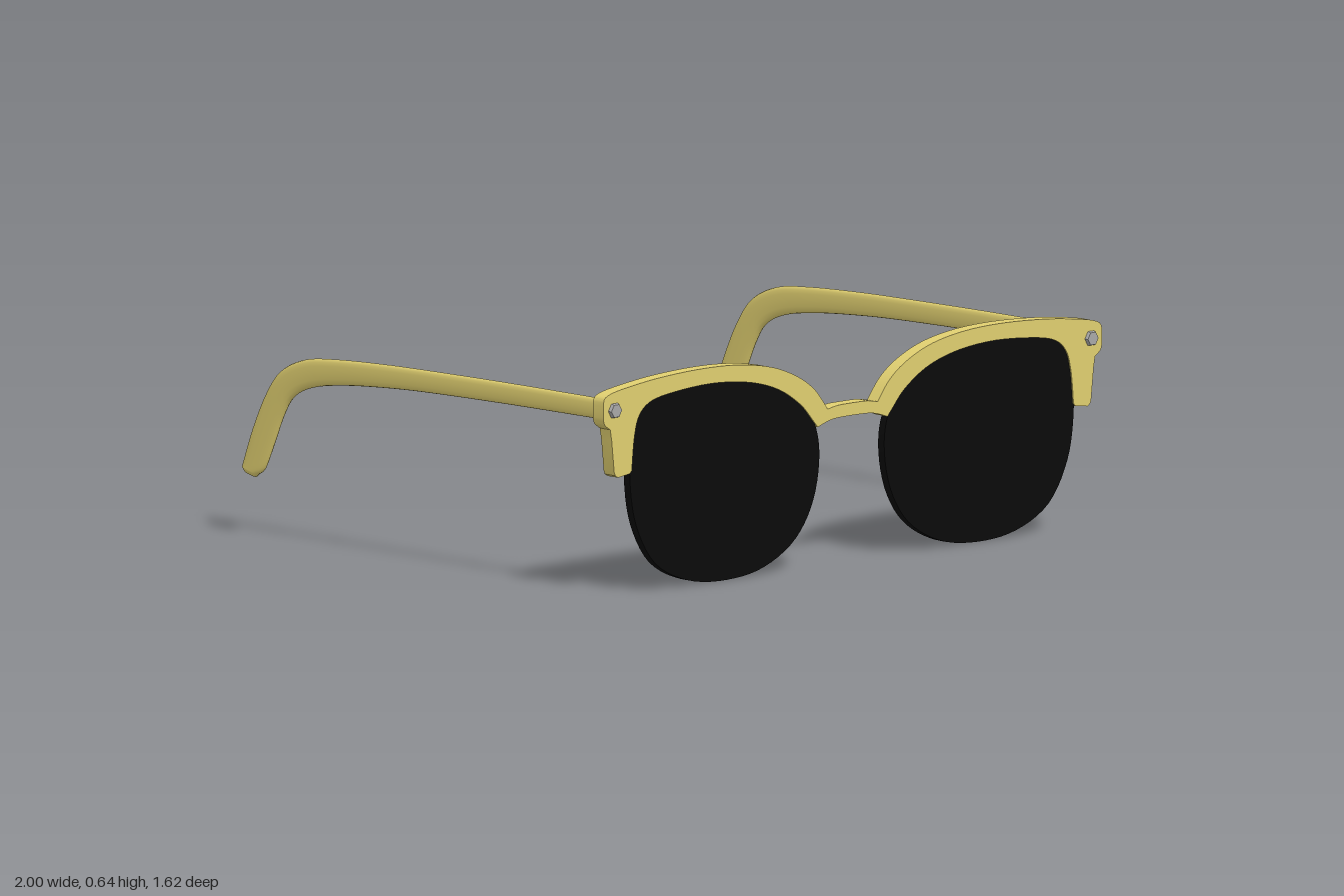
import * as THREE from 'three';
import { toCreasedNormals } from 'three/addons/utils/BufferGeometryUtils.js';

const gold = new THREE.MeshStandardMaterial({ color: 0xe0cf70 });
const black = new THREE.MeshStandardMaterial({ color: 0x0a0a0a });
const steel = new THREE.MeshStandardMaterial({ color: 0xa8a8a8 });

const vectors = (pts) => pts.map(([x, y]) => new THREE.Vector2(x, y));
const spline = (pts, n) => new THREE.SplineCurve(vectors(pts)).getPoints(n);

function slab(points, z0, z1) {
  const geo = new THREE.ExtrudeGeometry(new THREE.Shape(points), { depth: z1 - z0, bevelEnabled: false });
  geo.translate(0, 0, z0);
  return toCreasedNormals(geo, 0.5);
}

function add(parent, name, geo, mat) {
  const mesh = new THREE.Mesh(geo, mat);
  mesh.name = name;
  parent.add(mesh);
  return mesh;
}

// Half outline of the brow frame, from the bridge top round to the bridge underside
function frameOutline() {
  const half = [
    ...spline([[0, 0.474], [0.06, 0.473], [0.1, 0.466]], 6),
    ...spline([[0.1, 0.466], [0.15, 0.528], [0.22, 0.576], [0.32, 0.615], [0.45, 0.637], [0.6, 0.643],
      [0.78, 0.635], [0.93, 0.617], [0.98, 0.606]], 40).slice(1),
    ...spline([[0.98, 0.606], [0.995, 0.597], [1, 0.58], [1, 0.535], [0.993, 0.517], [0.973, 0.503]], 14).slice(1),
    ...vectors([[0.967, 0.47], [0.957, 0.375], [0.953, 0.364], [0.942, 0.357], [0.895, 0.363], [0.886, 0.372]]),
    ...spline([[0.884, 0.4], [0.876, 0.47], [0.858, 0.53], [0.815, 0.567], [0.73, 0.585], [0.57, 0.595],
      [0.42, 0.582], [0.3, 0.548], [0.21, 0.493], [0.16, 0.44], [0.14, 0.417]], 44),
    ...spline([[0.14, 0.417], [0.08, 0.434], [0, 0.437]], 8).slice(1),
  ];
  const mirrored = half.slice(1, -1).reverse().map((p) => new THREE.Vector2(-p.x, p.y));
  return [...half, ...mirrored];
}

// Lens outline, its upper edge tucked just inside the frame
function lensOutline(side) {
  const pts = [[0.13, 0.34], [0.155, 0.2], [0.225, 0.095], [0.35, 0.025], [0.5, 0.003], [0.66, 0.02],
    [0.79, 0.085], [0.865, 0.205], [0.89, 0.34], [0.885, 0.46], [0.862, 0.535], [0.815, 0.574],
    [0.73, 0.591], [0.57, 0.601], [0.42, 0.588], [0.3, 0.554], [0.205, 0.496], [0.15, 0.43], [0.13, 0.34]];
  const curve = new THREE.CatmullRomCurve3(
    pts.slice(0, -1).map(([x, y]) => new THREE.Vector3(side * x, y, 0)), true);
  return curve.getPoints(90).slice(0, -1).map((p) => new THREE.Vector2(p.x, p.y));
}

// Temple arm: oval sections strung between an upper and a lower edge in the (z, y) plane
function templeGeometry(cx, stretch) {
  const upper = [[0.757, 0.588], [0.35, 0.586], [0, 0.581], [-0.2, 0.576], [-0.4, 0.566], [-0.54, 0.549],
    [-0.645, 0.503], [-0.71, 0.425], [-0.765, 0.32], [-0.803, 0.225], [-0.812, 0.2]];
  const lower = [[0.757, 0.526], [0.35, 0.522], [0, 0.515], [-0.2, 0.506], [-0.38, 0.491], [-0.51, 0.469],
    [-0.59, 0.431], [-0.635, 0.37], [-0.675, 0.285], [-0.715, 0.205], [-0.745, 0.183]];
  const rows = 60, sides = 16, pos = [], index = [];
  const top = new THREE.SplineCurve(vectors(upper)), bottom = new THREE.SplineCurve(vectors(lower));
  const soft = (v) => Math.sign(v) * Math.abs(v) ** 0.75;
  const ring = (a, b, scale, slide) => {
    for (let j = 0; j < sides; j++) {
      const t = (j / sides) * Math.PI * 2;
      const k = 0.5 + 0.5 * scale * soft(Math.sin(t));
      const z = b.x + (a.x - b.x) * k, y = b.y + (a.y - b.y) * k;
      pos.push(cx + 0.0125 * scale * soft(Math.cos(t)), y + slide, 0.757 + (z - 0.757) * stretch);
    }
  };
  for (let i = 0; i <= rows; i++) ring(top.getPoint(i / rows), bottom.getPoint(i / rows), 1, 0);
  // Rounded tip
  ring(top.getPoint(1), bottom.getPoint(1), 0.75, -0.01);
  ring(top.getPoint(1), bottom.getPoint(1), 0.02, -0.013);
  for (let i = 0; i < rows + 2; i++) {
    for (let j = 0; j < sides; j++) {
      const a = i * sides + j, b = i * sides + ((j + 1) % sides);
      index.push(a, b, a + sides, b, b + sides, a + sides);
    }
  }
  const geo = new THREE.BufferGeometry();
  geo.setAttribute('position', new THREE.Float32BufferAttribute(pos, 3));
  geo.setIndex(index.map((_, i) => index[i - (i % 3) + [0, 2, 1][i % 3]]));
  geo.computeVertexNormals();
  // Make sure the skin faces outward: the first vertex lies on the +x side
  if (geo.attributes.normal.getX(sides * 10) < 0) {
    geo.setIndex(index);
    geo.computeVertexNormals();
  }
  return geo;
}

export function createModel() {
  const model = new THREE.Group();
  model.name = 'sunglasses';

  add(model, 'browFrame', slab(frameOutline(), 0.755, 0.8), gold);

  for (const side of [1, -1]) {
    const label = side > 0 ? 'left' : 'right';
    add(model, label + 'Lens', slab(lensOutline(side), 0.77, 0.796), black);

    // The right arm sits slightly further out and ends a touch shorter
    const cx = side > 0 ? 0.947 : -0.957;
    add(model, label + 'Temple', templeGeometry(cx, side > 0 ? 1 : 0.991), gold);

    // Hexagonal rivet on the front corner
    const rivet = new THREE.CylinderGeometry(0.021, 0.026, 0.014, 6).toNonIndexed();
    rivet.computeVertexNormals();
    rivet.rotateY(Math.PI / 6 + Math.PI / 3);
    rivet.rotateX(Math.PI / 2);
    add(model, label + 'Rivet', rivet, steel).position.set(side * 0.956, 0.558, 0.803);

    // Small hinge plate on the inner face of the arm
    add(model, label + 'Hinge', new THREE.BoxGeometry(0.008, 0.03, 0.07), steel)
      .position.set(cx - side * 0.012, 0.56, 0.722);
  }
  return model;
}
